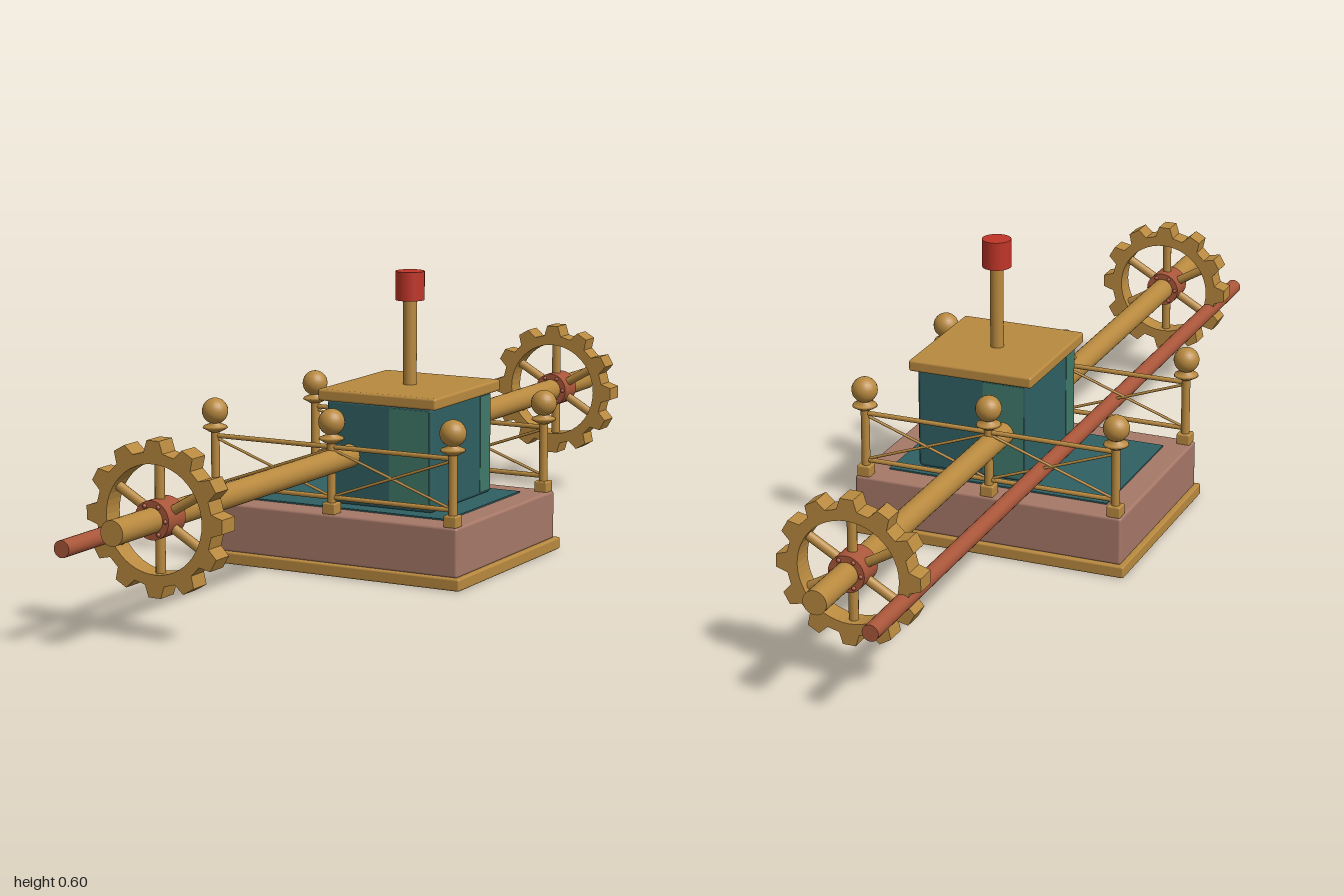
import * as THREE from 'three';
import { RoundedBoxGeometry } from 'three/addons/geometries/RoundedBoxGeometry.js';

const mat = (name, color) => {
  const m = new THREE.MeshStandardMaterial({ color });
  m.name = name;
  return m;
};

export function createModel() {
  const brass = mat('brass', 0xb8893f);
  const copper = mat('copper', 0xa9563a);
  const stone = mat('stone', 0xa67868);
  const teal = mat('dark teal', 0x2f6063);
  const green = mat('light teal', 0x40796a);
  const red = mat('red', 0xbf3528);

  const model = new THREE.Group();
  model.name = 'geared platform';

  const add = (parent, name, geo, material, x = 0, y = 0, z = 0) => {
    const m = new THREE.Mesh(geo, material);
    m.name = name;
    m.position.set(x, y, z);
    parent.add(m);
    return m;
  };
  const group = (name, x = 0, y = 0, z = 0) => {
    const g = new THREE.Group();
    g.name = name;
    g.position.set(x, y, z);
    model.add(g);
    return g;
  };
  const rounded = (w, h, d, r) => new RoundedBoxGeometry(w, h, d, 2, r);
  // Round bar between two points
  const bar = (parent, name, a, b, r, material, sides = 10) => {
    const p = new THREE.Vector3(...a), q = new THREE.Vector3(...b);
    const m = add(parent, name, new THREE.CylinderGeometry(r, r, p.distanceTo(q), sides), material);
    m.position.copy(p).lerp(q, 0.5);
    m.quaternion.setFromUnitVectors(new THREE.Vector3(0, 1, 0), q.sub(p).normalize());
    return m;
  };

  // Plinth
  add(model, 'baseSlab', rounded(0.604, 0.025, 0.464, 0.004), brass, 0, 0.0125, 0);
  add(model, 'plinth', rounded(0.584, 0.102, 0.444, 0.006), stone, 0, 0.074, 0);
  add(model, 'floorMat', new THREE.BoxGeometry(0.48, 0.006, 0.33), teal, 0, 0.125, 0);

  // Cabin with a lighter strip along the right of each wall
  const cabin = group('cabin', 0.068, 0, 0);
  add(cabin, 'cabinBody', rounded(0.242, 0.215, 0.264, 0.008), teal, 0, 0.2355, 0);
  for (let i = 0; i < 4; i++) {
    const wall = new THREE.Group();
    wall.name = 'wallStrip';
    wall.rotation.y = i * Math.PI / 2;
    const half = i % 2 ? 0.132 : 0.121, dist = i % 2 ? 0.121 : 0.132;
    const w = i % 2 ? 0.045 : 0.09;
    add(wall, 'lightPanel', new THREE.BoxGeometry(w, 0.2, 0.002), green, half - 0.007 - w / 2, 0.235, dist);
    cabin.add(wall);
  }
  add(cabin, 'roof', rounded(0.27, 0.024, 0.29, 0.005), brass, 0, 0.352, 0);
  add(cabin, 'chimney', new THREE.CylinderGeometry(0.014, 0.014, 0.18, 24), brass, 0, 0.451, 0);
  add(cabin, 'chimneyCap', new THREE.CylinderGeometry(0.03, 0.03, 0.059, 28), red, 0, 0.5675, 0);

  // Railings on front and back
  const capProfile = [[0, 0], [0.012, 0], [0.026, 0.008], [0.024, 0.012], [0.012, 0.017], [0.012, 0.03], [0, 0.03]]
    .map(([r, y]) => new THREE.Vector2(r, y));
  for (const s of [1, -1]) {
    const railing = group(s > 0 ? 'frontRailing' : 'backRailing', 0, 0, s * 0.205);
    for (const x of [-0.274, 0, 0.274]) {
      add(railing, 'postFoot', rounded(0.029, 0.024, 0.029, 0.003), brass, x, 0.135, 0);
      add(railing, 'post', new THREE.CylinderGeometry(0.009, 0.009, 0.13, 16), brass, x, 0.21, 0);
      add(railing, 'postCollar', new THREE.LatheGeometry(capProfile, 20), brass, x, 0.268, 0);
      add(railing, 'postBall', new THREE.SphereGeometry(0.027, 20, 14), brass, x, 0.311, 0);
    }
    for (const y of [0.157, 0.26]) bar(railing, 'rail', [-0.274, y, 0], [0.274, y, 0], 0.005, brass);
    for (const x of [-0.274, 0]) {
      bar(railing, 'brace', [x, 0.158, 0], [x + 0.274, 0.256, 0], 0.003, brass, 8);
      bar(railing, 'brace', [x, 0.256, 0], [x + 0.274, 0.158, 0], 0.003, brass, 8);
    }
  }

  // Long shaft and side rod
  bar(model, 'shaft', [0, 0.23, -1], [0, 0.23, 1], 0.024, brass, 32);
  bar(model, 'sideRod', [-0.109, 0.19, -1], [-0.109, 0.19, 1], 0.0165, copper, 24);

  // Toothed rim outline
  const teeth = 12, depth = 0.044;
  const rim = new THREE.Shape();
  for (let i = 0; i < teeth; i++) {
    const a = i / teeth * Math.PI * 2;
    [[-0.165, 0.125], [-0.09, 0.147], [0.09, 0.147], [0.165, 0.125]].forEach(([d, r], k) => {
      const x = r * Math.cos(a + d), y = r * Math.sin(a + d);
      i + k ? rim.lineTo(x, y) : rim.moveTo(x, y);
    });
  }
  rim.closePath();
  const hole = new THREE.Path();
  hole.absarc(0, 0, 0.103, 0, Math.PI * 2, true);
  rim.holes.push(hole);
  const rimGeo = new THREE.ExtrudeGeometry(rim, { depth, bevelEnabled: false, curveSegments: 24 });
  rimGeo.translate(0, 0, -depth / 2);

  // Gear wheels
  for (const s of [1, -1]) {
    const wheel = group(s > 0 ? 'frontGear' : 'backGear', 0, 0.23, s * 0.84);
    add(wheel, 'gearRim', rimGeo, brass);
    add(wheel, 'hub', new THREE.CylinderGeometry(0.037, 0.037, 0.058, 28), copper).rotation.x = Math.PI / 2;
    for (let i = 0; i < 6; i++) {
      const a = i / 6 * Math.PI * 2 + Math.PI / 2, c = Math.cos(a), n = Math.sin(a);
      bar(wheel, 'spoke', [0.03 * c, 0.03 * n, 0], [0.107 * c, 0.107 * n, 0], 0.0095, brass, 12);
      const b = a + Math.PI / 6;
      for (const z of [-0.029, 0.029]) {
        add(wheel, 'bolt', new THREE.SphereGeometry(0.0045, 8, 6), copper, 0.0295 * Math.cos(b), 0.0295 * Math.sin(b), z);
      }
    }
  }
  return model;
}
